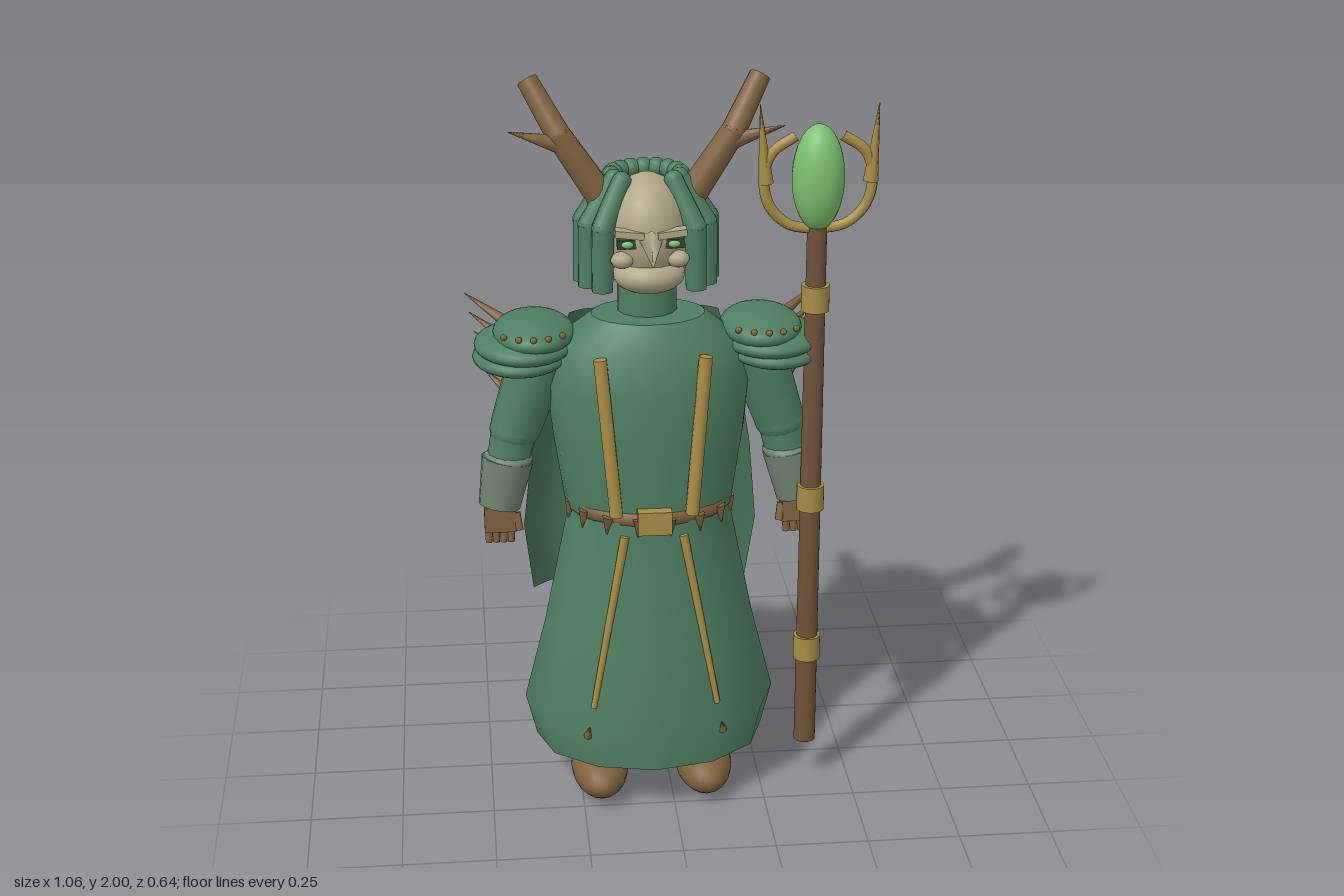
import * as THREE from 'three';

const mat = (name, color) => { const m = new THREE.MeshStandardMaterial({ color }); m.name = name; return m; };

export function createModel() {
  const green = mat('robe green', 0x4f7f62);
  const cloth = mat('cape green', 0x4b7558);
  cloth.side = THREE.DoubleSide;
  const brown = mat('horn brown', 0x80623f);
  const wood = mat('staff wood', 0x715339);
  const gold = mat('gold', 0xa88d46);
  const skin = mat('skin', 0xb0a685);
  const orbGreen = mat('orb green', 0x7cc070);
  const cuffGrey = mat('cuff grey green', 0x6f8270);
  const dark = mat('dark green', 0x2f4a3a);

  const root = new THREE.Group();
  const body = new THREE.Group();
  body.name = 'figure';
  body.position.x = -0.055;
  root.add(body);

  const V = (x, y, z) => new THREE.Vector3(x, y, z);
  const add = (name, geo, m, parent = body) => {
    const mesh = new THREE.Mesh(geo, m);
    mesh.name = name;
    parent.add(mesh);
    return mesh;
  };
  const ball = (name, m, p, r, parent, n = 20) => {
    const mesh = add(name, new THREE.SphereGeometry(1, n, Math.ceil(n * 0.7)), m, parent);
    mesh.position.set(...p);
    mesh.scale.set(...r);
    return mesh;
  };
  const box = (name, m, p, s, parent) => {
    const mesh = add(name, new THREE.BoxGeometry(...s), m, parent);
    mesh.position.set(...p);
    return mesh;
  };
  // tapered cylinder from p to q
  const limb = (name, m, p, q, r0, r1, parent, n = 14) => {
    const a = V(...p), b = V(...q), d = b.clone().sub(a);
    const mesh = add(name, new THREE.CylinderGeometry(r1, r0, d.length(), n), m, parent);
    mesh.position.copy(a).add(b).multiplyScalar(0.5);
    mesh.quaternion.setFromUnitVectors(V(0, 1, 0), d.normalize());
    return mesh;
  };
  // elliptical rings [y, rx, rz, cz], bottom to top; a repeated ring makes a crease
  const loft = (rows, n) => {
    const pos = [], idx = [];
    for (const [y, rx, rz, cz] of rows)
      for (let i = 0; i < n; i++) {
        const a = i / n * Math.PI * 2;
        pos.push(rx * Math.sin(a), y, cz + rz * Math.cos(a));
      }
    for (let j = 0; j < rows.length - 1; j++)
      for (let i = 0; i < n; i++) {
        const a = j * n + i, b = j * n + (i + 1) % n;
        idx.push(a, b, a + n, b, b + n, a + n);
      }
    const g = new THREE.BufferGeometry();
    g.setAttribute('position', new THREE.Float32BufferAttribute(pos, 3));
    g.setIndex(idx);
    g.computeVertexNormals();
    return g;
  };

  // Robe
  const hem = [0.14, 0.315, 0.24, 0.072], waist = [0.85, 0.215, 0.185, 0.075];
  add('skirt', loft([[0.14, 0.001, 0.001, 0.072], hem, hem, [0.26, 0.345, 0.25, 0.07],
    [0.5, 0.285, 0.225, 0.072], waist, waist, [0.85, 0.001, 0.001, 0.075]], 12), green);
  const tBase = [0.85, 0.225, 0.172, 0.075], tTop = [1.38, 0.15, 0.11, 0.07];
  add('torso', loft([[0.85, 0.001, 0.001, 0.075], tBase, tBase, [1.05, 0.255, 0.175, 0.075],
    [1.2, 0.27, 0.172, 0.075], [1.31, 0.245, 0.155, 0.07], tTop, tTop, [1.38, 0.001, 0.001, 0.07]], 24), green);
  limb('neck', green, [0, 1.34, 0.04], [0, 1.48, 0.04], 0.08, 0.078);

  // Belt with hanging points
  add('belt', loft([[0.84, 0.2, 0.16, 0.075], [0.845, 0.222, 0.182, 0.075],
    [0.875, 0.222, 0.182, 0.075], [0.88, 0.2, 0.16, 0.075]], 24), brown);
  for (let i = 0; i < 16; i++) {
    const a = (i + 0.5) / 16 * Math.PI * 2, x = 0.218 * Math.sin(a), z = 0.075 + 0.184 * Math.cos(a);
    limb('beltPoint', brown, [x, 0.865, z], [x * 1.03, 0.815, z], 0.016, 0.002, body, 6);
  }
  box('buckle', gold, [0, 0.86, 0.262], [0.09, 0.065, 0.03]);

  // Head and face
  ball('head', skin, [0, 1.6, 0.05], [0.108, 0.15, 0.128]);
  ball('jaw', skin, [0, 1.495, 0.1], [0.095, 0.05, 0.085]);
  limb('nose', skin, [0, 1.61, 0.165], [0, 1.555, 0.237], 0.032, 0.002, body, 4);

  // Hair locks: slanted root, bend and straight end
  for (let i = -6; i <= 6; i++) {
    const a = i * 0.385, at = (f, y) => [f * 0.165 * Math.sin(a), y, 0.02 - f * 0.143 * Math.cos(a)];
    const lock = new THREE.Group();
    lock.name = 'hairLock';
    body.add(lock);
    ball('lockRoot', green, at(0.55, 1.735), [0.026, 0.026, 0.026], lock, 10);
    limb('lockUpper', green, at(0.55, 1.735), at(0.98, 1.62), 0.026, 0.03, lock, 10);
    ball('lockBend', green, at(0.98, 1.62), [0.03, 0.03, 0.03], lock, 10);
    limb('lockLower', green, at(0.98, 1.62), at(1, 1.455), 0.03, 0.028, lock, 10);
  }

  for (const s of [-1, 1]) {
    // Face details
    box('brow', skin, [s * 0.055, 1.622, 0.163], [0.075, 0.018, 0.035]).rotation.z = s * 0.12;
    box('eyeSocket', dark, [s * 0.06, 1.594, 0.158], [0.052, 0.024, 0.02]);
    ball('eye', orbGreen, [s * 0.06, 1.594, 0.166], [0.017, 0.01, 0.01], body, 10);
    ball('cheek', skin, [s * 0.072, 1.547, 0.145], [0.03, 0.022, 0.03], body, 12);

    // Antlers
    limb('antlerBase', brown, [s * 0.1, 1.66, 0.04], [s * 0.225, 1.85, 0.035], 0.04, 0.033);
    ball('antlerBend', brown, [s * 0.225, 1.85, 0.035], [0.033, 0.033, 0.033], body, 12);
    limb('antlerTip', brown, [s * 0.225, 1.85, 0.035], [s * 0.3, 1.98, -0.028], 0.033, 0.028);
    limb('antlerTine', brown, [s * 0.2, 1.82, 0.035], [s * 0.355, 1.87, 0.067], 0.03, 0.001, body, 8);

    // Layered shoulder guards, rivets and spikes
    [[0.3, 1.332, 0.108, 0.046, 0.145], [0.325, 1.3, 0.133, 0.042, 0.152], [0.338, 1.266, 0.125, 0.038, 0.145]]
      .forEach(([d, y, rx, ry, rz]) => ball('shoulderGuard', green, [s * d, y, 0.06], [rx, ry, rz], body, 24));
    for (let i = -2; i <= 2; i++)
      ball('rivet', brown, [s * (0.305 + i * 0.038), 1.352, 0.192 - i * i * 0.008], [0.009, 0.009, 0.009], body, 8);
    for (let i = 0; i < 5; i++) {
      const y = 1.39 - i * 0.052, d = 0.478 - i * 0.012;
      limb('shoulderSpike', brown, [s * 0.34, y - 0.075, 0], [s * d, y, -0.095 + i * 0.008], 0.02, 0.001, body, 8);
    }

    // Arms and hands
    ball('shoulder', green, [s * 0.29, 1.25, 0.06], [0.08, 0.08, 0.075]);
    limb('upperArm', green, [s * 0.285, 1.27, 0.06], [s * 0.355, 1.06, 0.06], 0.08, 0.068);
    ball('elbow', green, [s * 0.355, 1.06, 0.06], [0.068, 0.06, 0.068]);
    limb('forearm', green, [s * 0.355, 1.07, 0.06], [s * 0.385, 0.92, 0.07], 0.062, 0.055);
    limb('cuff', cuffGrey, [s * 0.378, 0.975, 0.067], [s * 0.403, 0.845, 0.08], 0.07, 0.056);
    ball('cuffTop', cuffGrey, [s * 0.378, 0.975, 0.067], [0.069, 0.03, 0.069]);
    box('hand', brown, [s * 0.402, 0.815, 0.085], [0.085, 0.07, 0.06]);
    for (let i = 0; i < 4; i++)
      limb('finger', brown, [s * (0.372 + i * 0.02), 0.79, 0.092], [s * (0.374 + i * 0.02), 0.745, 0.098], 0.011, 0.009, body, 8);
    limb('thumb', brown, [s * 0.36, 0.83, 0.1], [s * 0.35, 0.785, 0.115], 0.013, 0.01, body, 8);

    // Gold trim and hem hooks
    limb('torsoTrim', gold, [s * 0.137, 1.305, 0.222], [s * 0.1, 0.875, 0.252], 0.018, 0.018, body, 10);
    limb('skirtTrim', gold, [s * 0.078, 0.815, 0.25], [s * 0.168, 0.325, 0.282], 0.012, 0.008, body, 8);
    limb('hemHook', brown, [s * 0.185, 0.235, 0.275], [s * 0.18, 0.27, 0.292], 0.012, 0.001, body, 6);

    // Shoes
    ball('shoe', brown, [s * 0.145, 0.067, 0.135], [0.079, 0.067, 0.155]);
  }

  // Cape: rows of [y, half width, z] with folds that deepen downwards
  const rows = [[1.34, 0.2, -0.085], [1.13, 0.265, -0.145], [0.9, 0.305, -0.2], [0.65, 0.33, -0.252], [0.43, 0.305, -0.3]];
  const N = 24, cape = new THREE.PlaneGeometry(1, 1, N, rows.length - 1), p = cape.attributes.position;
  rows.forEach(([y, hw, z], j) => {
    for (let i = 0; i <= N; i++) {
      const u = i / N * 2 - 1, fold = 0.004 + 0.004 * j;
      p.setXYZ(j * (N + 1) + i, u * hw, y, z - fold * Math.cos(u * Math.PI * 2.7) + 0.03 * u ** 6);
    }
  });
  cape.computeVertexNormals();
  add('cape', cape, cloth);

  // Staff with bands, orb and claws
  const staff = new THREE.Group();
  staff.name = 'staff';
  staff.position.set(0.376, 0, 0.143);
  root.add(staff);
  limb('staffPole', wood, [0, 0.125, 0], [0, 1.64, 0], 0.03, 0.026, staff, 16);
  for (const y of [0.415, 0.865, 1.43]) limb('staffBand', gold, [0, y - 0.035, 0], [0, y + 0.035, 0], 0.037, 0.037, staff, 16);
  ball('orb', orbGreen, [0, 1.752, 0], [0.068, 0.14, 0.068], staff, 24);
  for (const s of [-1, 1]) {
    const path = [[0, 1.615], [0.075, 1.63], [0.125, 1.68], [0.14, 1.755], [0.12, 1.82], [0.06, 1.862]]
      .map(([x, y]) => V(s * x, y, 0));
    add('claw', new THREE.TubeGeometry(new THREE.CatmullRomCurve3(path), 20, 0.014, 8), gold, staff);
    limb('clawSpike', gold, [s * 0.135, 1.74, 0], [s * 0.152, 1.945, 0], 0.02, 0.001, staff, 8);
  }
  return root;
}
